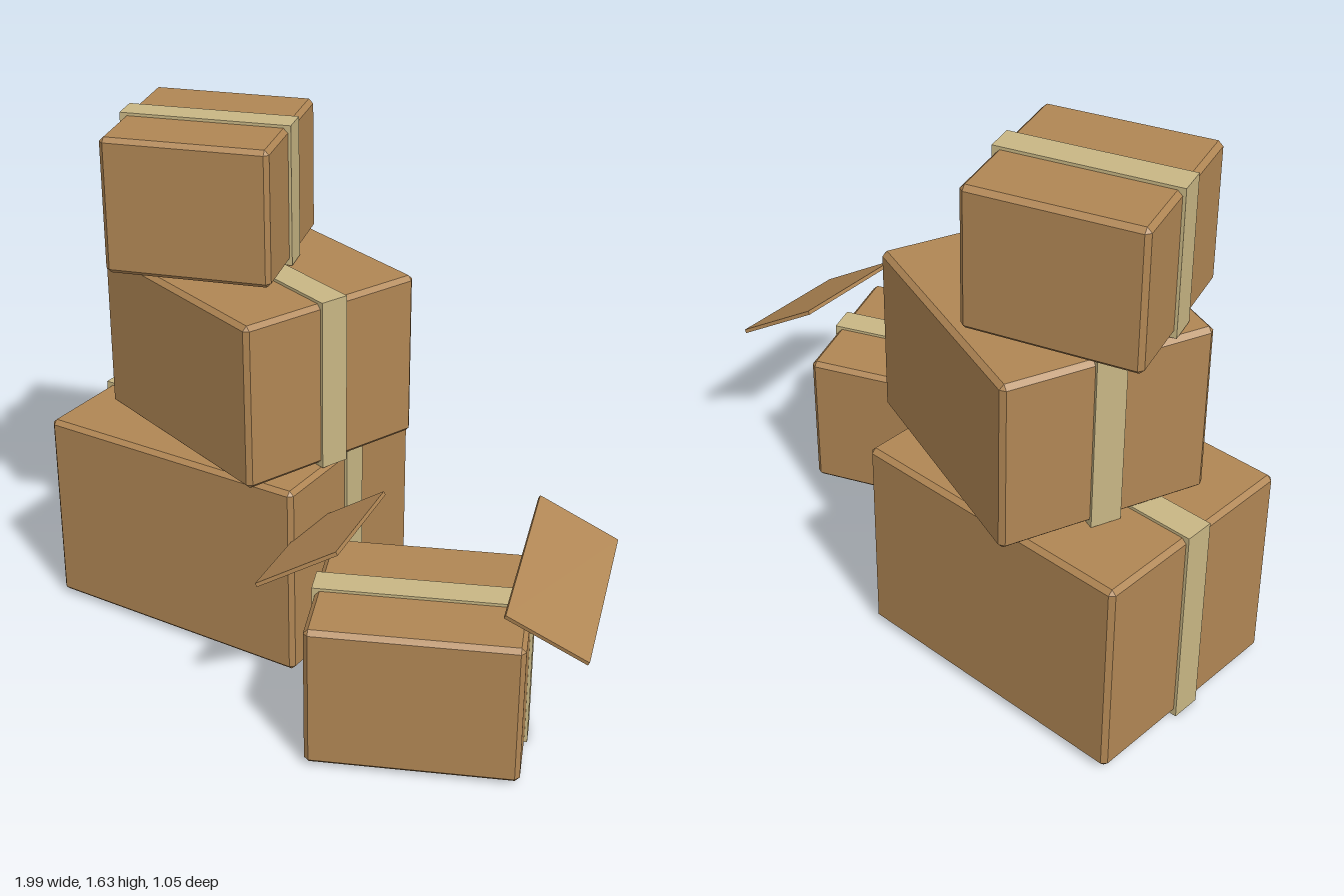
import * as THREE from 'three';
import { ConvexGeometry } from 'three/addons/geometries/ConvexGeometry.js';

const BEVEL = 0.014;
const TAPE_WIDTH = 0.092;
const TAPE_LIFT = 0.009;

// Box with chamfered edges and corners
function chamferBox(w, h, d, b) {
  const points = [];
  for (const sx of [-1, 1]) for (const sy of [-1, 1]) for (const sz of [-1, 1]) {
    const x = sx * w / 2, y = sy * h / 2, z = sz * d / 2;
    points.push(
      new THREE.Vector3(x, y - sy * b, z - sz * b),
      new THREE.Vector3(x - sx * b, y, z - sz * b),
      new THREE.Vector3(x - sx * b, y - sy * b, z));
  }
  return new ConvexGeometry(points);
}

export function createModel() {
  const cardboard = new THREE.MeshStandardMaterial({ color: 0xb08654 });
  cardboard.name = 'cardboard';
  const tape = new THREE.MeshStandardMaterial({ color: 0xc8b684 });
  tape.name = 'packing tape';

  const model = new THREE.Group();
  model.name = 'cardboardBoxes';

  function add(parent, name, geometry, material) {
    const mesh = new THREE.Mesh(geometry, material);
    mesh.name = name;
    parent.add(mesh);
    return mesh;
  }

  // Carton with a band of tape running right round it
  function addCarton(name, [w, h, d], [x, y, z], turn) {
    const carton = new THREE.Group();
    carton.name = name;
    add(carton, 'carton', chamferBox(w, h, d, BEVEL), cardboard);
    add(carton, 'tapeBand',
      new THREE.BoxGeometry(w + 2 * TAPE_LIFT, h + 2 * TAPE_LIFT, TAPE_WIDTH), tape);
    carton.position.set(x, y, z);
    carton.rotation.y = turn;
    model.add(carton);
  }

  addCarton('bottomBox', [0.915, 0.636, 0.70], [-0.51, 0.328, -0.165], 0.1);
  addCarton('middleBox', [0.754, 0.527, 0.63], [-0.405, 0.921, -0.185], -0.25);
  addCarton('topBox', [0.515, 0.425, 0.525], [-0.56, 1.41, -0.16], 0.41);
  addCarton('sideBox', [0.626, 0.456, 0.52], [0.44, 0.238, 0.10], 0.5);

  // Loose flaps above the side box, tilted down and outward
  function addFlap(name, centre, across, along) {
    const x = new THREE.Vector3(...across).normalize();
    const z = new THREE.Vector3(...along).normalize();
    const y = new THREE.Vector3().crossVectors(z, x).normalize();
    z.crossVectors(x, y);
    const flap = add(model, name, new THREE.BoxGeometry(0.268, 0.012, 0.528), cardboard);
    flap.quaternion.setFromRotationMatrix(new THREE.Matrix4().makeBasis(x, y, z));
    flap.position.set(...centre);
  }

  addFlap('rightFlap', [0.108, 0.55, 0.15], [0.21, 0.132, -0.105], [0.2, 0.095, 0.485]);
  addFlap('leftFlap', [0.785, 0.55, -0.093], [0.22, -0.134, -0.115], [0.2, -0.095, 0.485]);

  return model;
}
